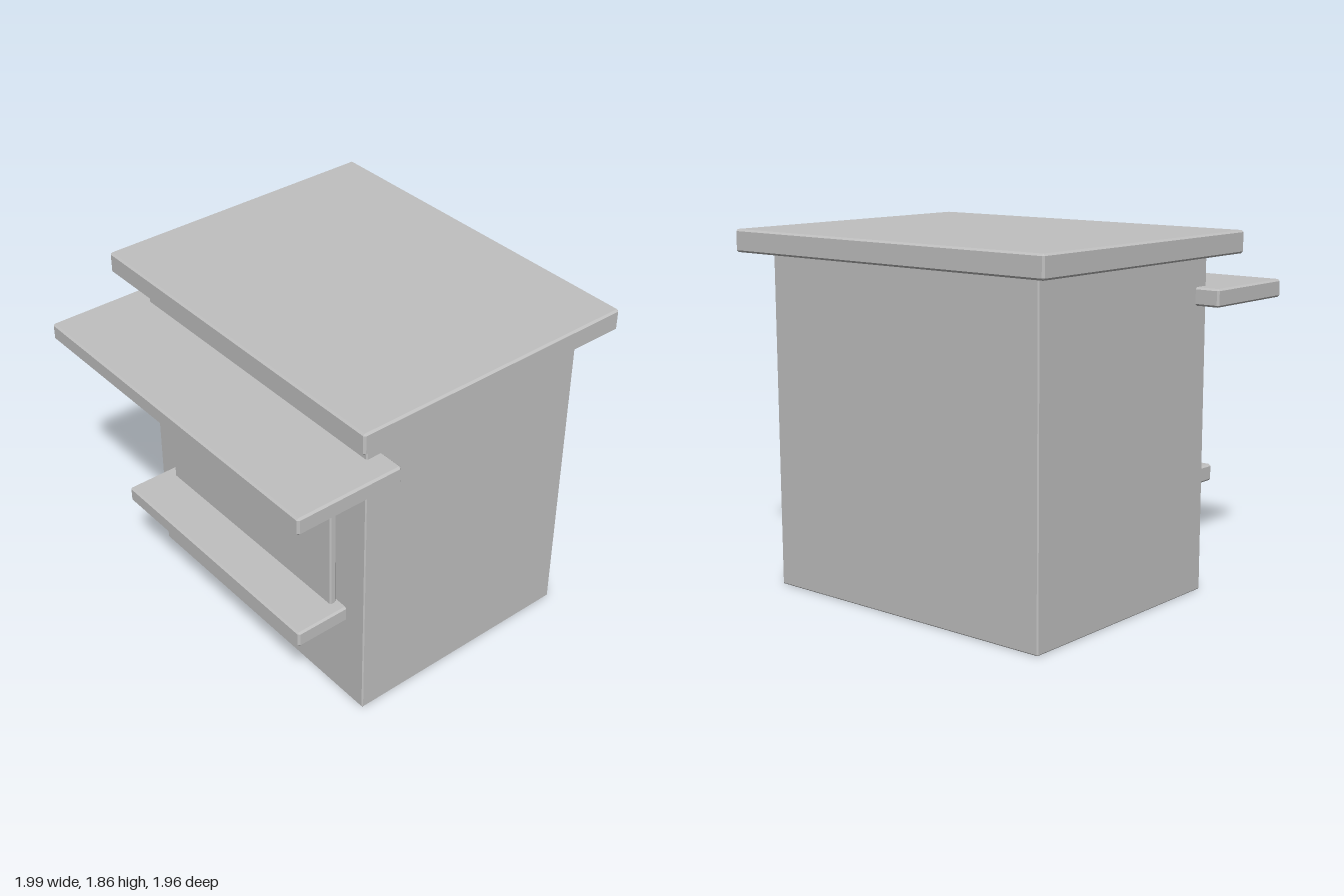
import * as THREE from 'three';
import { ConvexGeometry } from 'three/addons/geometries/ConvexGeometry.js';

// Box given by its min/max corners, with every edge chamfered by c
function chamferBox(min, max, c) {
  const half = min.map((v, i) => (max[i] - v) / 2);
  const mid = min.map((v, i) => (max[i] + v) / 2);
  const points = [];
  for (const sx of [-1, 1]) for (const sy of [-1, 1]) for (const sz of [-1, 1]) {
    const s = [sx, sy, sz];
    // three points per corner, each lying on one of the faces
    for (let face = 0; face < 3; face++) {
      points.push(new THREE.Vector3(...s.map((v, i) => v * (half[i] - (i === face ? 0 : c)))));
    }
  }
  const geometry = new ConvexGeometry(points);
  geometry.translate(...mid);
  return geometry;
}

export function createModel() {
  const model = new THREE.Group();
  model.name = 'kiosk';
  const grey = new THREE.MeshStandardMaterial({ color: 0xc0c0c0 });
  grey.name = 'plain grey';

  const parts = [
    // name, half width, [bottom, top], [back, front], chamfer
    ['body', 0.863, [0, 1.735], [-0.848, 0.484], 0.006],
    ['roof', 0.997, [1.745, 1.861], [-0.981, 0.614], 0.01],
    ['awning', 0.997, [1.491, 1.584], [0.39, 0.981], 0.01],
    ['servingWindow', 0.665, [0.55, 1.368], [0.494, 0.531], 0.007],
    ['counter', 0.73, [0.505, 0.594], [0.45, 0.78], 0.01],
  ];
  for (const [name, w, [y0, y1], [z0, z1], c] of parts) {
    const mesh = new THREE.Mesh(chamferBox([-w, y0, z0], [w, y1, z1], c), grey);
    mesh.name = name;
    model.add(mesh);
  }
  return model;
}
